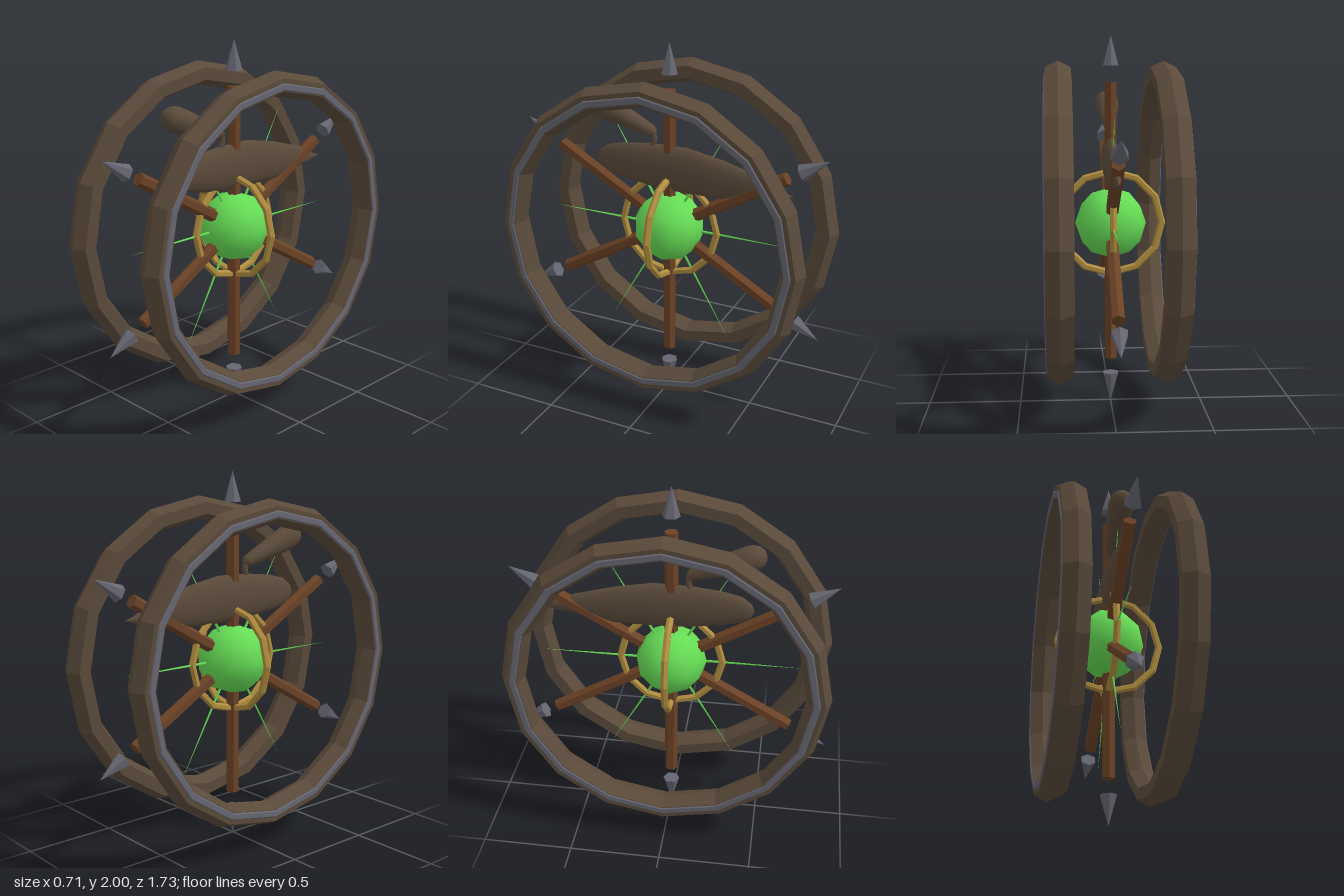
import * as THREE from 'three';

const mat = (name, color, flatShading = true) => {
  const m = new THREE.MeshStandardMaterial({ color, flatShading });
  m.name = name;
  return m;
};

export function createModel() {
  const root = new THREE.Group();
  root.name = 'spikedWheel';
  const darkWood = mat('dark wood', 0x5a4a3a);
  const hide = darkWood.clone();
  hide.flatShading = false;
  hide.name = 'dark hide';
  const spokeWood = mat('spoke wood', 0x6b4226);
  const steel = mat('steel', 0x666672);
  const brass = mat('brass', 0xb08d3f);
  const glow = mat('green glow', 0x66dd55, false);

  const add = (name, geometry, material, parent = root) => {
    const mesh = new THREE.Mesh(geometry, material);
    mesh.name = name;
    parent.add(mesh);
    return mesh;
  };

  // Everything turns around the hub
  const wheel = new THREE.Group();
  wheel.name = 'wheel';
  wheel.position.y = 1;
  root.add(wheel);

  // Paired rims, each with a steel band on its outer face
  for (const side of [1, -1]) {
    const rim = add('rim', new THREE.TorusGeometry(0.8, 0.065, 6, 16), darkWood, wheel);
    rim.rotation.y = Math.PI / 2;
    rim.scale.z = 1.22;
    rim.position.x = side * 0.28;
    const band = add('rimBand', new THREE.TorusGeometry(0.79, 0.026, 6, 16), steel, wheel);
    band.rotation.y = Math.PI / 2;
    band.scale.z = 0.6;
    band.position.x = side * 0.341;
  }

  // Glowing core and its two crossed brass hoops
  add('core', new THREE.IcosahedronGeometry(0.192, 1), glow, wheel);
  const hoop = new THREE.TorusGeometry(0.278, 0.02, 6, 12);
  add('crossHoop', hoop, brass, wheel);
  add('lengthHoop', hoop, brass, wheel).rotation.y = Math.PI / 2;

  // Six spokes with detached spear tips, and thin green rays between them
  const spokeGeo = new THREE.CylinderGeometry(0.036, 0.036, 0.66, 6).translate(0, 0.425, 0);
  const tipGeo = new THREE.ConeGeometry(0.047, 0.16, 6).translate(0, 0.92, 0);
  const rayGeo = new THREE.ConeGeometry(0.009, 0.62, 5).translate(0, 0.41, 0);
  for (let i = 0; i < 6; i++) {
    const a = i * Math.PI / 3;
    add('spoke', spokeGeo, spokeWood, wheel).rotation.x = a;
    add('spearTip', tipGeo, steel, wheel).rotation.x = a;
    add('ray', rayGeo, glow, wheel).rotation.x = a + Math.PI / 6;
  }

  // Slim body above the core, lofted from oval sections: z, centre y, half height, half width
  const sections = [
    [0.435, 1.33, 0.002, 0.002], [0.42, 1.33, 0.04, 0.018], [0.37, 1.335, 0.075, 0.03],
    [0.27, 1.335, 0.1, 0.038], [0.1, 1.332, 0.122, 0.046], [-0.1, 1.33, 0.128, 0.046],
    [-0.3, 1.313, 0.108, 0.04], [-0.42, 1.303, 0.085, 0.032], [-0.52, 1.303, 0.058, 0.024],
    [-0.6, 1.29, 0.035, 0.015], [-0.64, 1.283, 0.018, 0.01], [-0.69, 1.282, 0.002, 0.002],
  ];
  const n = 16, pos = [], idx = [];
  sections.forEach(([z, y, hy, hx], s) => {
    for (let i = 0; i < n; i++) {
      const a = i / n * Math.PI * 2;
      pos.push(hx * Math.cos(a), y + hy * Math.sin(a), z);
      if (s === 0) continue;
      const j = (i + 1) % n, p = (s - 1) * n, q = s * n;
      idx.push(p + i, q + i, p + j, p + j, q + i, q + j);
    }
  });
  const bodyGeo = new THREE.BufferGeometry();
  bodyGeo.setAttribute('position', new THREE.Float32BufferAttribute(pos, 3));
  bodyGeo.setIndex(idx);
  bodyGeo.computeVertexNormals();
  hide.side = THREE.DoubleSide;
  add('body', bodyGeo, hide);

  // Club-shaped head on a short neck
  const profile = [
    [0, -0.01], [0.018, 0], [0.032, 0.02], [0.04, 0.08], [0.05, 0.17], [0.062, 0.26],
    [0.068, 0.33], [0.064, 0.37], [0.05, 0.4], [0.028, 0.418], [0, 0.424],
  ].map(([r, d]) => new THREE.Vector2(r, d));
  const head = add('head', new THREE.LatheGeometry(profile, 16), hide);
  head.position.set(0, 1.513, 0.085);
  head.rotation.x = 1.21;
  const neck = new THREE.CatmullRomCurve3([
    new THREE.Vector3(0, 1.52, 0.11), new THREE.Vector3(0, 1.49, 0.088), new THREE.Vector3(0, 1.43, 0.1),
  ]);
  add('neck', new THREE.TubeGeometry(neck, 8, 0.016, 8), hide);

  return root;
}
